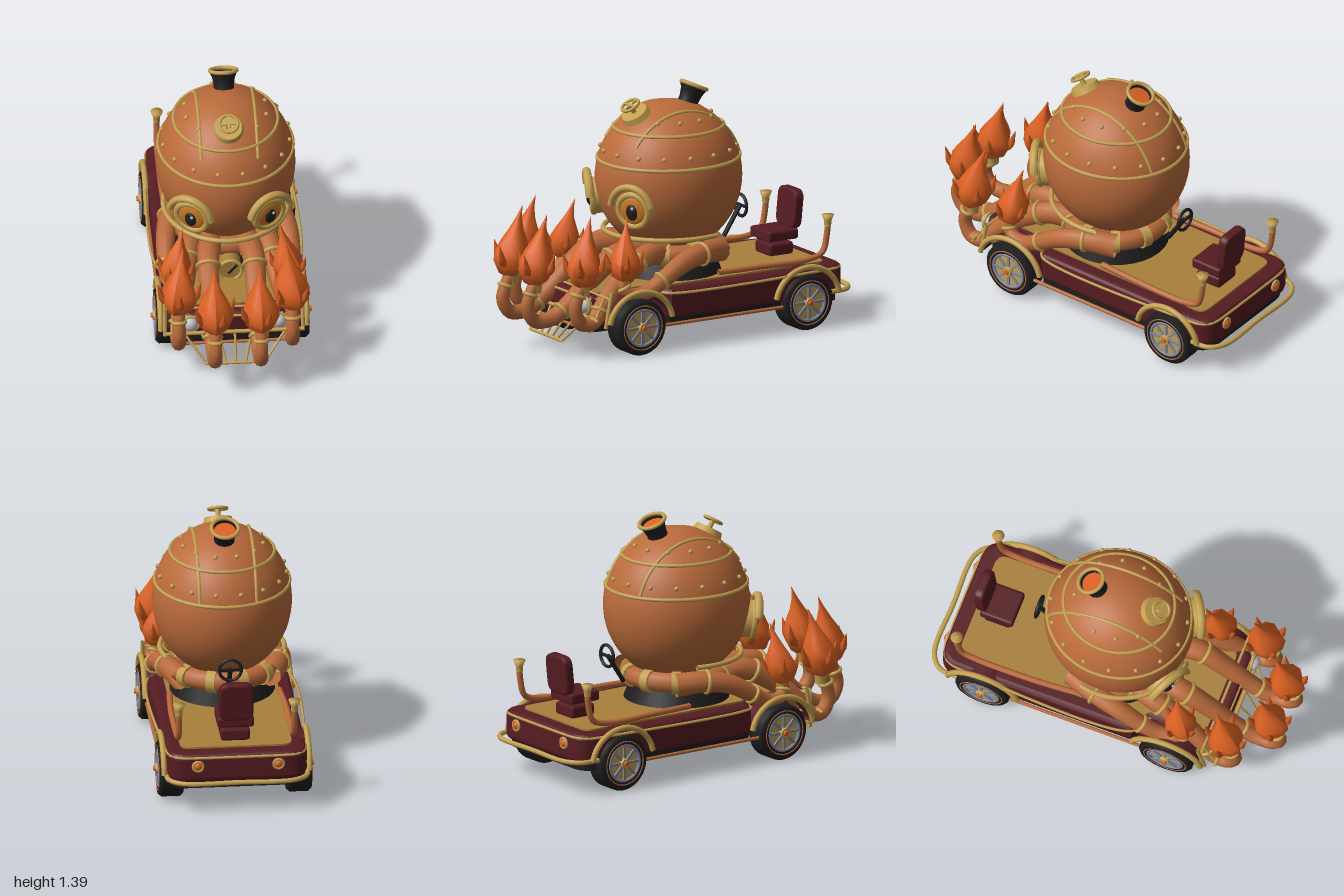
import * as THREE from 'three';

const M = {};
for (const [name, color] of Object.entries({
  copper: 0xb96a3b, gold: 0xc4a050, deckTan: 0xa8803c, darkRed: 0x561c22, black: 0x1e1e1e,
  flameOrange: 0xdc6122, silver: 0xbfc1c8, steelBlue: 0x8088a0, eyeAmber: 0xc87824,
})) {
  M[name] = new THREE.MeshStandardMaterial({ color, side: THREE.DoubleSide });
  M[name].name = name;
}
const V = (x, y, z) => new THREE.Vector3(x, y, z);
const TAU = Math.PI * 2;

export function createModel() {
  const root = new THREE.Group();
  root.name = 'steamCar';

  const add = (name, geo, mat, p = [0, 0, 0], r = [0, 0, 0], parent = root) => {
    const m = new THREE.Mesh(geo, mat);
    m.name = name;
    m.position.set(...p);
    m.rotation.set(...r);
    parent.add(m);
    return m;
  };
  const group = (name, p, r = [0, 0, 0]) => {
    const g = new THREE.Group();
    g.name = name;
    g.position.set(...p);
    g.rotation.set(...r);
    root.add(g);
    return g;
  };
  const cyl = (r1, r2, h, n = 24) => new THREE.CylinderGeometry(r1, r2, h, n);
  const ball = (r) => new THREE.SphereGeometry(r, 12, 8);
  const ring = (r, t, arc = TAU) => new THREE.TorusGeometry(r, t, 8, 32, arc);
  const flatRing = (r, t) => ring(r, t).rotateX(Math.PI / 2);
  const lathe = (pts, n = 24) => new THREE.LatheGeometry(pts.map((p) => new THREE.Vector2(...p)), n);
  // Tube through points, tapering from radius r0 to r1
  const pipe = (pts, r0, r1 = r0, closed = false, seg = 40, sides = 8) => {
    const curve = new THREE.CatmullRomCurve3(pts.map((p) => V(...p)), closed, 'centripetal');
    const g = new THREE.TubeGeometry(curve, seg, r0, sides, closed);
    if (r1 !== r0) {
      const pos = g.attributes.position, v = V(0, 0, 0);
      for (let i = 0; i < pos.count; i++) {
        const t = Math.floor(i / (sides + 1)) / seg, c = curve.getPointAt(t);
        v.fromBufferAttribute(pos, i).sub(c).multiplyScalar(1 + (r1 / r0 - 1) * t).add(c);
        pos.setXYZ(i, v.x, v.y, v.z);
      }
    }
    return g;
  };
  const rod = (a, b, r) => pipe([a, b], r, r, false, 1, 8);

  // Chassis, drawn in plan and extruded upwards; the nose is narrower
  const plan = (w, wf, zb, zf, r) => {
    const s = new THREE.Shape();
    s.moveTo(-w + r, -zb).lineTo(w - r, -zb).quadraticCurveTo(w, -zb, w, -zb - r);
    s.lineTo(w, -0.2).lineTo(wf, -0.26).lineTo(wf, -zf + 0.05).quadraticCurveTo(wf, -zf, wf - 0.05, -zf);
    s.lineTo(-wf + 0.05, -zf).quadraticCurveTo(-wf, -zf, -wf, -zf + 0.05).lineTo(-wf, -0.26).lineTo(-w, -0.2);
    s.lineTo(-w, -zb - r).quadraticCurveTo(-w, -zb, -w + r, -zb);
    return s;
  };
  const slab = (shape, h, b) => new THREE.ExtrudeGeometry(shape, {
    depth: h - 2 * b, bevelEnabled: b > 0, bevelSize: b, bevelThickness: b, bevelOffset: -b, bevelSegments: 3,
  }).rotateX(-Math.PI / 2).translate(0, b, 0);
  add('underbody', slab(plan(0.365, 0.27, -0.9, 0.64, 0.1), 0.06, 0), M.black, [0, 0.13, 0]);
  add('body', slab(plan(0.385, 0.28, -0.93, 0.66, 0.12), 0.165, 0.03), M.darkRed, [0, 0.17, 0]);
  add('deck', slab(plan(0.305, 0.25, -0.84, 0.58, 0.06), 0.02, 0), M.deckTan, [0, 0.325, 0]);
  const trim = (y, o) => plan(0.385 + o, 0.28 + o, -0.93 - o, 0.66 + o, 0.12).getPoints(6)
    .slice(0, -1).map((p) => [p.x, y, -p.y]);
  add('bodyTrim', pipe(trim(0.315, -0.005), 0.008, 0.008, true, 120, 6), M.gold);

  // Wheels, fenders and side rails
  for (const s of [-1, 1]) {
    for (const z of [0.405, -0.665]) {
      const w = group('wheel', [s * 0.35, 0.155, z], [0, 0, -s * Math.PI / 2]);
      add('tire', lathe([[0.105, -0.065], [0.14, -0.067], [0.155, -0.05], [0.155, 0.05], [0.14, 0.067], [0.105, 0.065]], 36), M.black, [0, 0, 0], [0, 0, 0], w);
      add('tireStripe', flatRing(0.122, 0.004), M.copper, [0, 0.065, 0], [0, 0, 0], w);
      add('rimDisc', cyl(0.108, 0.108, 0.11, 32), M.gold, [0, 0, 0], [0, 0, 0], w);
      add('rim', flatRing(0.1, 0.009), M.steelBlue, [0, 0.06, 0], [0, 0, 0], w);
      for (let i = 0; i < 4; i++) {
        add('spokes', new THREE.BoxGeometry(0.19, 0.012, 0.014), M.steelBlue, [0, 0.06, 0], [0, i * Math.PI / 4, 0], w);
      }
      add('hub', cyl(0.026, 0.032, 0.024, 16), M.gold, [0, 0.066, 0], [0, 0, 0], w);
      add('hubCap', cyl(0.013, 0.016, 0.012, 12), M.flameOrange, [0, 0.082, 0], [0, 0, 0], w);

      const f = group('fender', [s * 0.335, 0.155, z], [0, 0, 0]);
      add('fenderShell', new THREE.CylinderGeometry(0.19, 0.19, 0.11, 24, 1, true, 0.25, Math.PI - 0.5)
        .rotateZ(Math.PI / 2).rotateX(0), M.darkRed, [0, 0, 0], [0, 0, 0], f).rotation.x = 0;
      const arc = [];
      for (let i = 0; i <= 12; i++) {
        const a = 0.2 + (Math.PI - 0.4) * i / 12;
        arc.push([s * 0.062, 0.195 * Math.sin(a), 0.205 * Math.cos(a)]);
      }
      f.children[0].geometry = new THREE.CylinderGeometry(0.19, 0.19, 0.11, 24, 1, true, -Math.PI / 2 + 0.25, Math.PI - 0.5)
        .rotateX(-Math.PI / 2).rotateY(Math.PI / 2).scale(1, -1, 1);
      // keep the shell above the wheel whichever way the arc was laid out
      f.children[0].geometry.computeBoundingBox();
      if (f.children[0].geometry.boundingBox.min.y < -0.1) f.children[0].geometry.rotateX(Math.PI);
      add('fenderEdge', pipe(arc, 0.016), M.gold, [0, 0, 0], [0, 0, 0], f);
    }
    add('sideRail', rod([s * 0.385, 0.145, 0.25], [s * 0.385, 0.145, -0.52], 0.01), M.copper);
    // Deck pipe ending in a horn
    add('hornPipe', pipe([[s * 0.3, 0.37, -0.15], [s * 0.315, 0.37, -0.4], [s * 0.315, 0.37, -0.72], [s * 0.315, 0.4, -0.81], [s * 0.315, 0.5, -0.84], [s * 0.315, 0.56, -0.845]], 0.017), M.copper);
    add('hornBell', lathe([[0.019, 0], [0.02, 0.03], [0.034, 0.065], [0, 0.06]], 16), M.gold, [s * 0.315, 0.54, -0.845]);
    // Lamps
    add('headlight', ball(0.043), M.silver, [s * 0.24, 0.28, 0.665]);
    add('headlightRim', ring(0.046, 0.009), M.gold, [s * 0.24, 0.28, 0.668]);
    add('tailLight', ball(0.025), M.flameOrange, [s * 0.22, 0.27, -0.928]);
    add('tailLightRim', ring(0.027, 0.008), M.gold, [s * 0.22, 0.27, -0.935]);
    add('frontUpright', rod([s * 0.375, 0.17, 0.62], [s * 0.375, 0.37, 0.58], 0.011), M.gold);
    add('frontStay', rod([s * 0.34, 0.22, 0.66], [s * 0.33, 0.34, 0.6], 0.008), M.gold);
  }

  // Bumpers and the slatted front guard
  add('rearBumper', pipe([[0.385, 0.19, -0.82], [0.375, 0.19, -0.92], [0.3, 0.19, -0.98], [0, 0.19, -0.985], [-0.3, 0.19, -0.98], [-0.375, 0.19, -0.92], [-0.385, 0.19, -0.82]], 0.014), M.gold);
  add('frontBar', rod([-0.375, 0.225, 0.68], [0.375, 0.225, 0.68], 0.011), M.gold);
  add('frontTopBar', rod([-0.37, 0.335, 0.6], [0.37, 0.335, 0.6], 0.008), M.gold);
  add('lowerBar', rod([-0.29, 0.14, 0.655], [0.29, 0.14, 0.655], 0.009), M.copper);
  add('guardBar', rod([-0.165, 0.078, 0.765], [0.165, 0.078, 0.765], 0.009), M.gold);
  for (let i = -3; i <= 3; i++) {
    add('guardSlat', rod([i * 0.09, 0.215, 0.68], [i * 0.053, 0.078, 0.765], 0.007), M.gold);
  }

  // Seat and steering
  const cushion = (w, h, d) => {
    const s = new THREE.Shape(), a = w / 2, b = h / 2, r = Math.min(a, b) * 0.6;
    s.moveTo(-a + r, -b).lineTo(a - r, -b).quadraticCurveTo(a, -b, a, -b + r).lineTo(a, b - r).quadraticCurveTo(a, b, a - r, b);
    s.lineTo(-a + r, b).quadraticCurveTo(-a, b, -a, b - r).lineTo(-a, -b + r).quadraticCurveTo(-a, -b, -a + r, -b);
    const e = 0.012;
    return new THREE.ExtrudeGeometry(s, { depth: d - 2 * e, bevelSize: e, bevelThickness: e, bevelOffset: -e, bevelSegments: 2 }).translate(0, 0, e - d / 2);
  };
  add('seatBase', cushion(0.16, 0.07, 0.15), M.darkRed, [0, 0.38, -0.7]);
  add('seatCushion', cushion(0.2, 0.06, 0.19), M.darkRed, [0, 0.46, -0.7]);
  add('seatBack', cushion(0.19, 0.22, 0.055), M.darkRed, [0, 0.59, -0.8], [-0.1, 0, 0]);
  add('steeringColumn', rod([0, 0.48, -0.375], [0, 0.64, -0.48], 0.013), M.black);
  add('steeringWheel', ring(0.06, 0.009), M.black, [0, 0.64, -0.485]);
  add('steeringSpoke', new THREE.BoxGeometry(0.12, 0.014, 0.012), M.black, [0, 0.64, -0.485]);

  // Boiler head
  const C = [0, 0.87, -0.02], R = [0.38, 0.42, 0.41];
  add('boiler', new THREE.SphereGeometry(1, 48, 32).scale(...R), M.copper, C);
  const level = (y, a, o = 0) => {
    const k = Math.sqrt(1 - ((y - C[1]) / R[1]) ** 2);
    return [(R[0] * k + o) * Math.sin(a), y, C[2] + (R[2] * k + o) * Math.cos(a)];
  };
  const arcPts = (n, f) => Array.from({ length: n }, (_, i) => f(i / n));
  for (const y of [0.98, 1.15]) {
    add('boilerBand', pipe(arcPts(24, (t) => level(y, t * TAU)), 0.011, 0.011, true, 72, 6), M.gold);
  }
  add('frontBand', pipe(arcPts(17, (t) => level(0.585, (t * 17 / 16 - 0.5) * 3.7, 0.06)), 0.014), M.gold);
  for (const x of [-0.155, 0.155]) {
    const k = Math.sqrt(1 - (x / R[0]) ** 2);
    add('crownBand', pipe(arcPts(17, (t) => {
      const a = -1.25 + 2.2 * t * 17 / 16;
      return [x, C[1] + R[1] * k * Math.cos(a), C[2] + R[2] * k * Math.sin(a)];
    }), 0.01, 0.01, false, 40, 6), M.gold);
  }
  for (const [y, n] of [[1.04, 16], [1.21, 12]]) {
    for (let i = 0; i < n; i++) add('rivet', ball(0.013), M.gold, level(y, (i + 0.5) / n * TAU, 0.003));
  }

  // Boiler stand with collars and a gauge
  add('stand', cyl(0.25, 0.29, 0.1, 32), M.black, [0, 0.39, -0.02]);
  add('manifold', flatRing(0.25, 0.055), M.copper, [0, 0.48, -0.02]);
  for (let i = 0; i < 10; i++) {
    const a = (i + 0.5) / 10 * TAU;
    add('manifoldCollar', cyl(0.064, 0.064, 0.05, 12).rotateZ(Math.PI / 2), M.gold, [0.25 * Math.sin(a), 0.48, -0.02 + 0.25 * Math.cos(a)], [0, a, 0]);
  }
  const gauge = group('gauge', [0, 0.395, 0.33]);
  add('gaugeFace', cyl(0.06, 0.06, 0.1).rotateX(Math.PI / 2), M.deckTan, [0, 0, -0.03], [0, 0, 0], gauge);
  add('gaugeRim', ring(0.062, 0.01), M.gold, [0, 0, 0.02], [0, 0, 0], gauge);
  add('needle', new THREE.BoxGeometry(0.07, 0.012, 0.006), M.black, [0.012, 0.008, 0.024], [0, 0, 0.85], gauge);

  // Chimney
  const ch = group('chimney', [0, 1.25, -0.14], [-0.42, 0, 0]);
  add('chimneyStack', lathe([[0.06, -0.03], [0.055, 0.03], [0.062, 0.07], [0.078, 0.11]]), M.black, [0, 0, 0], [0, 0, 0], ch);
  add('chimneyRim', flatRing(0.073, 0.011), M.gold, [0, 0.11, 0], [0, 0, 0], ch);
  add('chimneyGlow', cyl(0.06, 0.06, 0.006), M.flameOrange, [0, 0.085, 0], [0, 0, 0], ch);

  // Hatch with a hand wheel
  const hatch = group('hatch', [0, 1.225, 0.185], [0.55, 0, 0]);
  add('hatchLid', cyl(0.075, 0.092, 0.06), M.gold, [0, 0, 0], [0, 0, 0], hatch);
  add('hatchStem', cyl(0.014, 0.014, 0.06, 12), M.gold, [0, 0.05, 0], [0, 0, 0], hatch);
  add('hatchWheel', flatRing(0.05, 0.009), M.gold, [0, 0.078, 0], [0, 0, 0], hatch);
  for (const a of [0, Math.PI / 2]) add('hatchSpoke', new THREE.BoxGeometry(0.1, 0.01, 0.014), M.gold, [0, 0.078, 0], [0, a, 0], hatch);

  // Eyes
  for (const s of [-1, 1]) {
    const e = group('eye', [s * 0.207, 0.76, 0.335], [0.12, s * 0.5, 0]);
    add('eyeSocket', cyl(0.1, 0.1, 0.08, 32).rotateX(Math.PI / 2), M.gold, [0, 0, -0.035], [0, 0, 0], e);
    add('eyeRim', ring(0.09, 0.018), M.gold, [0, 0, 0.005], [0, 0, 0], e);
    add('iris', new THREE.SphereGeometry(0.08, 24, 12).scale(1, 1, 0.25), M.eyeAmber, [0, 0, 0.005], [0, 0, 0], e);
    add('pupil', new THREE.SphereGeometry(1, 16, 10).scale(0.034, 0.046, 0.016), M.black, [0, -0.005, 0.022], [0, 0, 0], e);
    add('glint', ball(0.009), M.silver, [0.012, 0.02, 0.034], [0, 0, 0], e);
    add('brow', ring(0.128, 0.018, 2.7).scale(1, 1.08, 1.3), M.gold, [0, 0, 0.02], [0, 0, 0.22], e);
  }

  // Flame: ridged teardrop, tip swept back, with small licks around it
  const flameGeo = lathe([[0.025, 0], [0.07, 0.03], [0.095, 0.09], [0.092, 0.14], [0.068, 0.2], [0.038, 0.26], [0.016, 0.32], [0, 0.39]], 12);
  const fp = flameGeo.attributes.position;
  for (let i = 0; i < fp.count; i++) {
    const x = fp.getX(i), y = fp.getY(i), z = fp.getZ(i);
    const k = 1 + 0.1 * Math.cos(4 * Math.atan2(x, z) + y * 8);
    fp.setXYZ(i, x * k, y, z * k - 0.5 * y * y);
  }
  flameGeo.computeVertexNormals();
  const lick = (a) => pipe([[0.05, 0.08, 0], [0.09, 0.1, 0], [0.105, 0.14, 0], [0.118, 0.19, 0]], 0.035, 0.001, false, 8, 6).rotateY(a);

  // Exhaust pipes curling up to the flames
  const routes = [
    [[0.1, 0.5, 0.2], [0.125, 0.5, 0.4], [0.125, 0.39, 0.56], [0.125, 0.27, 0.7], [0.125, 0.2, 0.82], [0.125, 0.205, 0.92], [0.125, 0.28, 0.965], [0.125, 0.36, 0.945], [0.125, 0.42, 0.915]],
    [[0.17, 0.49, 0.12], [0.22, 0.5, 0.26], [0.25, 0.42, 0.42], [0.29, 0.3, 0.57], [0.31, 0.2, 0.66], [0.31, 0.2, 0.735], [0.31, 0.28, 0.775], [0.31, 0.36, 0.755], [0.31, 0.42, 0.725]],
    [[0.24, 0.48, -0.2], [0.3, 0.49, -0.05], [0.335, 0.46, 0.1], [0.345, 0.39, 0.23], [0.34, 0.33, 0.34], [0.33, 0.33, 0.43], [0.315, 0.37, 0.47], [0.31, 0.42, 0.46]],
  ];
  for (const s of [-1, 1]) {
    routes.forEach((route, i) => {
      const pts = route.map(([x, y, z]) => [s * x, y, z]);
      add('exhaustPipe', pipe(pts, 0.068, 0.032, false, 48, 10), M.copper);
      const curve = new THREE.CatmullRomCurve3(pts.map((p) => V(...p)), false, 'centripetal');
      for (const t of [0.22, 0.6, 0.93]) {
        const c = add('pipeCollar', ring(0.068 - 0.036 * t, 0.011), M.gold, curve.getPointAt(t).toArray());
        c.lookAt(curve.getPointAt(t).add(curve.getTangentAt(t)));
      }
      const end = pts[pts.length - 1];
      const f = group('flame', [end[0], 0.4, end[2]], [0, i * 0.4 * s, 0]);
      f.scale.setScalar(i === 2 ? 0.88 : 1);
      add('burnerCup', lathe([[0.034, -0.04], [0.036, 0], [0.05, 0.03]], 12), M.gold, [0, 0, 0], [0, 0, 0], f);
      add('flameBody', flameGeo, M.flameOrange, [0, 0, 0], [0, 0, 0], f);
      for (let j = 0; j < 4; j++) add('flameLick', lick(0.4 + j * TAU / 4), M.flameOrange, [0, 0, -0.01], [0, 0, 0], f);
    });
  }
  return root;
}
